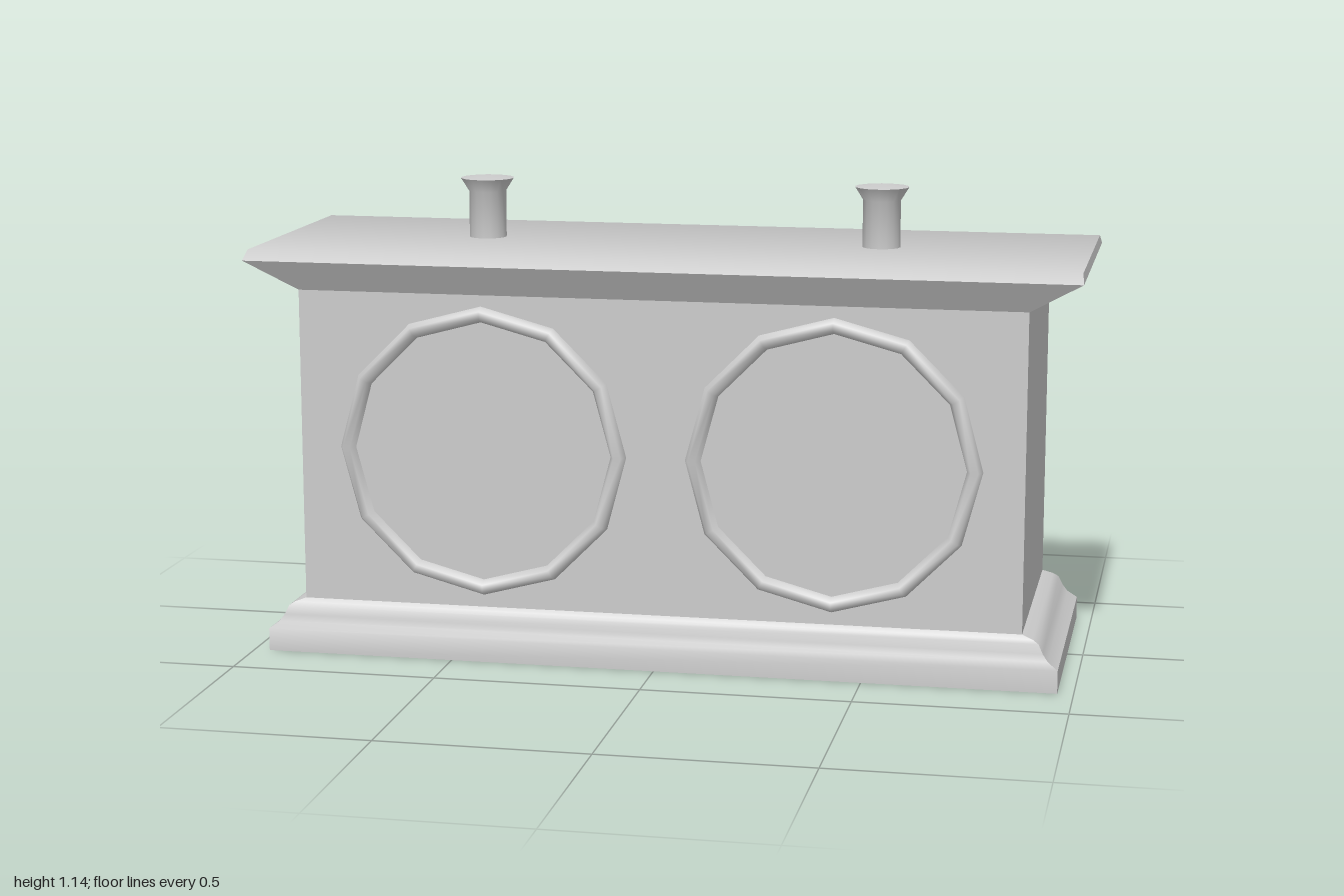
import * as THREE from 'three';
import { toCreasedNormals } from 'three/addons/utils/BufferGeometryUtils.js';

const shellMaterial = new THREE.MeshStandardMaterial({ color: 0xcccccc, side: THREE.DoubleSide });

// Open rectangular shell through rings of [half width, half depth, height]
function rectLoft(rings, capped) {
  const corners = [[1, 1], [1, -1], [-1, -1], [-1, 1]];
  const positions = [];
  const index = [];
  for (const [hx, hz, y] of rings) {
    for (const [sx, sz] of corners) positions.push(sx * hx, y, sz * hz);
  }
  for (let r = 0; r < rings.length - 1; r++) {
    for (let c = 0; c < 4; c++) {
      const a = r * 4 + c;
      const b = r * 4 + (c + 1) % 4;
      index.push(a, b, b + 4, a, b + 4, a + 4);
    }
  }
  if (capped) {
    const t = (rings.length - 1) * 4;
    index.push(t, t + 1, t + 2, t, t + 2, t + 3);
  }
  const geometry = new THREE.BufferGeometry();
  geometry.setAttribute('position', new THREE.Float32BufferAttribute(positions, 3));
  geometry.setIndex(index);
  return toCreasedNormals(geometry, 0.7);
}

function lathe(points, sides, crease) {
  const profile = points.map(([r, y]) => new THREE.Vector2(r, y));
  return toCreasedNormals(new THREE.LatheGeometry(profile, sides), crease);
}

export function createModel() {
  const model = new THREE.Group();
  model.name = 'twinDialClock';

  const add = (name, geometry, x = 0, y = 0, z = 0) => {
    const mesh = new THREE.Mesh(geometry, shellMaterial);
    mesh.name = name;
    mesh.position.set(x, y, z);
    model.add(mesh);
  };

  const bodyX = 0.875, bodyZ = 0.313;

  // Base moulding, open underneath: [share of the overhang, height]
  const moulding = [[1, 0], [1, 0.055], [0.72, 0.073], [0.58, 0.09], [0.46, 0.112], [0.3, 0.121], [0, 0.13]];
  add('baseMoulding', rectLoft(
    moulding.map(([t, y]) => [bodyX + 0.087 * t, bodyZ + 0.031 * t, y]), false));

  // Case walls
  add('case', rectLoft([[bodyX, bodyZ, 0.13], [bodyX, bodyZ, 0.893]], false));

  // Flared cornice with a bevelled lid
  add('cornice', rectLoft([
    [bodyX, bodyZ, 0.893], [1, 0.357, 0.966], [0.996, 0.326, 0.989],
  ], true));

  // Raised twelve-sided dial rims and push buttons, one of each per side
  const rim = lathe([[0.353, 0], [0.343, 0.02], [0.325, 0.02], [0.315, 0]], 12, 1.2);
  rim.rotateX(Math.PI / 2);
  const button = lathe([
    [0.046, 0], [0.046, 0.115], [0.066, 0.147], [0, 0.155],
  ], 16, 0.7);
  for (const [side, s] of [['left', 1], ['right', -1]]) {
    add(side + 'DialRim', rim, s * 0.424, 0.513, bodyZ);
    add(side + 'Button', button, s * 0.49, 0.988, -0.015);
  }

  return model;
}
